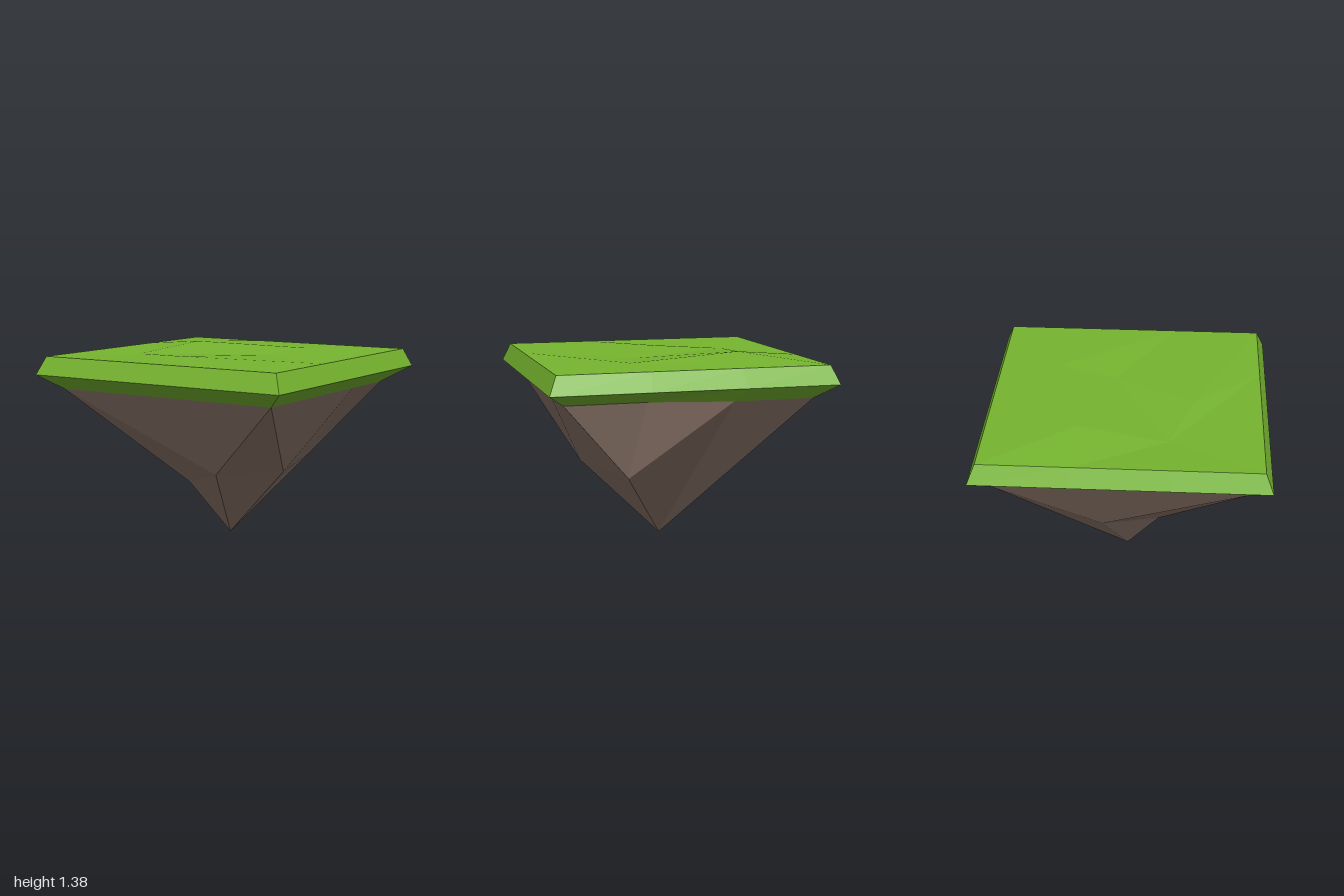
import * as THREE from 'three';

// Square outline of 12 points, three segments per side, counterclockwise from above
function squareRing(half, y) {
  const corners = [[-1, 1], [1, 1], [1, -1], [-1, -1]];
  const points = [];
  corners.forEach(([x, z], i) => {
    const [nx, nz] = corners[(i + 1) % 4];
    for (let k = 0; k < 3; k++) {
      const t = k / 3;
      points.push([half * (x + (nx - x) * t), y, half * (z + (nz - z) * t)]);
    }
  });
  return points;
}

// Triangles around a centre point; up = true for fans facing the sky
function fan(out, centre, rim, up) {
  for (let i = 0; i + 1 < rim.length; i++) {
    out.push(centre, ...(up ? [rim[i], rim[i + 1]] : [rim[i + 1], rim[i]]));
  }
}

// Wall between two rings of equal count
function wall(out, low, high) {
  low.forEach((a, i) => {
    const j = (i + 1) % low.length;
    out.push(a, low[j], high[j], a, high[j], high[i]);
  });
}

function facetMesh(name, triangles, material) {
  const geometry = new THREE.BufferGeometry();
  geometry.setAttribute('position', new THREE.Float32BufferAttribute(triangles.flat(), 3));
  geometry.computeVertexNormals();
  const mesh = new THREE.Mesh(geometry, material);
  mesh.name = name;
  return mesh;
}

export function createModel() {
  const grass = new THREE.MeshStandardMaterial({ color: 0x76b52f });
  grass.name = 'grassGreen';
  const rock = new THREE.MeshStandardMaterial({ color: 0x8a7468 });
  rock.name = 'rockBrown';

  // Outlines shared by rock and turf; two back points are pulled inward
  const base = squareRing(0.86, 1.115);
  base[6][2] = base[7][2] = -0.735;
  const brim = squareRing(1, 1.22);
  const rim = squareRing(0.945, 1.35);

  // Rock: irregular facets narrowing to a point
  const apex = [0, 0, 0];
  const front = [0.225, 0.55, 0.54];
  const right = [0.56, 0.55, 0.18];
  const back = [0.37, 0.55, -0.54];
  const left = [-0.5, 0.56, -0.15];
  const notch = [-0.205, 0.4, 0.24];
  const b = base;
  const rockTriangles = [];
  fan(rockTriangles, front, [notch, b[0], b[1], b[2], b[3], right, apex, notch]);
  fan(rockTriangles, right, [b[3], b[4], b[5], back, apex]);
  fan(rockTriangles, back, [b[5], b[6], b[7], b[8], apex]);
  fan(rockTriangles, apex, [b[8], b[9], left]);
  fan(rockTriangles, left, [b[9], b[10], b[11], b[0], notch, apex]);

  // Turf edge: flares out to the brim, then leans in
  const edgeTriangles = [];
  wall(edgeTriangles, base, brim);
  wall(edgeTriangles, brim, rim);

  // Turf top: gentle bumps and hollows
  const peak = [-0.5, 1.385, -0.315];
  const rise = [0.35, 1.357, -0.53];
  const dip = [0.22, 1.335, -0.1];
  const hollow = [-0.59, 1.335, 0.31];
  const bump = [-0.1, 1.355, 0.47];
  const r = rim;
  const topTriangles = [];
  fan(topTriangles, hollow, [r[10], r[11], r[0], r[1], r[2], bump, dip, peak, r[10]], true);
  fan(topTriangles, bump, [r[2], r[3], r[4], dip], true);
  fan(topTriangles, rise, [dip, r[4], r[5], r[6], r[7], r[8], peak, dip], true);
  fan(topTriangles, peak, [r[8], r[9], r[10]], true);

  const group = new THREE.Group();
  group.name = 'floatingIsland';
  group.add(
    facetMesh('rockBase', rockTriangles, rock),
    facetMesh('turfEdge', edgeTriangles, grass),
    facetMesh('turfTop', topTriangles, grass)
  );
  return group;
}
